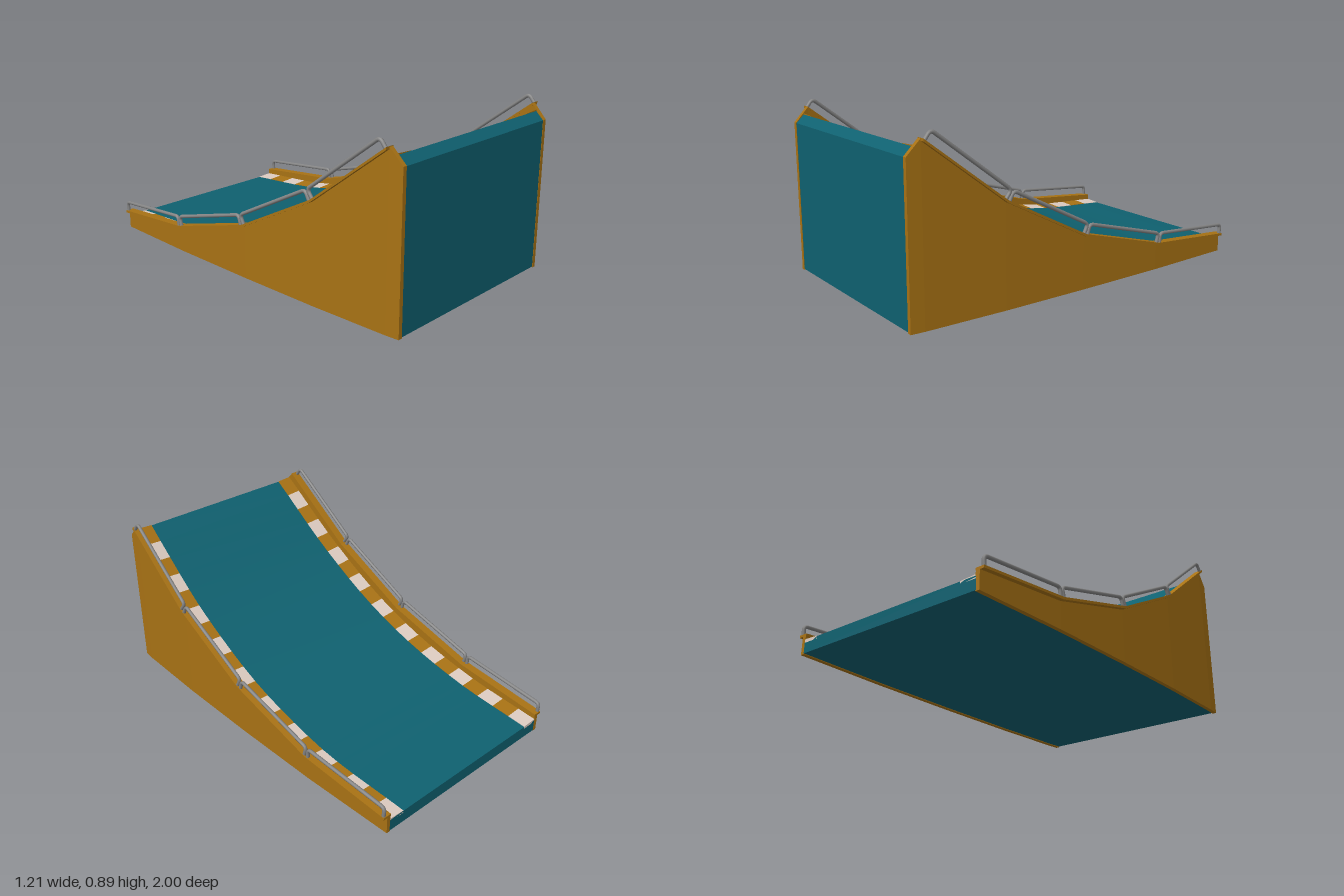
import * as THREE from 'three';

const mat = (color) => new THREE.MeshStandardMaterial({ color, flatShading: true });

// Outline of the side wall: z, height of the top edge, x of the inner face
const WALL = [
  [1, 0.785, 0.536], [0.93, 0.858, 0.542], [0.5, 0.53, 0.556],
  [0.03, 0.288, 0.56], [-0.48, 0.148, 0.556], [-1, 0.103, 0.538],
];

// Inner face x at any z, interpolated along the outline
function innerX(z) {
  for (let i = 0; i < WALL.length - 1; i++) {
    const [z0, , x0] = WALL[i], [z1, , x1] = WALL[i + 1];
    if (z >= z1) return THREE.MathUtils.lerp(x0, x1, (z0 - z) / (z0 - z1));
  }
  return WALL[WALL.length - 1][2];
}

// Closed solid through four-cornered sections running from +z to -z.
// Corners run counterclockwise seen from +z; side -1 mirrors the solid in x.
function loft(sections, side = 1) {
  const rings = sections.map(({ z, corners }) => {
    const ring = corners.map(([x, y]) => [x * side, y, z]);
    return side < 0 ? ring.reverse() : ring;
  });
  const pos = [];
  const quad = (a, b, c, d) => pos.push(...a, ...b, ...c, ...a, ...c, ...d);
  for (let i = 0; i < rings.length - 1; i++) {
    for (let j = 0; j < 4; j++) {
      const k = (j + 1) % 4;
      quad(rings[i][j], rings[i + 1][j], rings[i + 1][k], rings[i][k]);
    }
  }
  quad(...rings[0]);
  quad(...rings[rings.length - 1].slice().reverse());
  const geo = new THREE.BufferGeometry();
  geo.setAttribute('position', new THREE.Float32BufferAttribute(pos, 3));
  geo.computeVertexNormals();
  return geo;
}

// Section with a flat base and separate heights at its inner and outer edge
const section = (z, x0, x1, base, top0, top1 = top0) => ({
  z, corners: [[x0, base], [x1, base], [x1, top1], [x0, top0]],
});

// Hoop-shaped handrail over one straight stretch of the wall
function railGeometry([z0, y0, x0], [z1, y1, x1], side) {
  const a = new THREE.Vector3((x0 + 0.034) * side, y0, z0);
  const b = new THREE.Vector3((x1 + 0.034) * side, y1, z1);
  const along = b.clone().sub(a).normalize();
  const up = new THREE.Vector3(0, -along.z, along.y).normalize();
  const at = (p, d, h) => p.clone().addScaledVector(along, d).addScaledVector(up, h);
  const h = 0.052, r = 0.022, inset = 0.012;
  const path = new THREE.CurvePath();
  const a0 = at(a, inset, -0.004), a1 = at(a, inset, h - r), a2 = at(a, inset + r, h);
  const b0 = at(b, -inset, -0.004), b1 = at(b, -inset, h - r), b2 = at(b, -inset - r, h);
  path.add(new THREE.LineCurve3(a0, a1));
  path.add(new THREE.QuadraticBezierCurve3(a1, at(a, inset, h), a2));
  path.add(new THREE.LineCurve3(a2, b2));
  path.add(new THREE.QuadraticBezierCurve3(b2, at(b, -inset, h), b1));
  path.add(new THREE.LineCurve3(b1, b0));
  return new THREE.TubeGeometry(path, 64, 0.0095, 8);
}

export function createModel() {
  const model = new THREE.Group();
  const teal = mat(0x0f6170), orange = mat(0xa87214), cream = mat(0xdccbc0);
  const steel = new THREE.MeshStandardMaterial({ color: 0x858585 });
  const add = (name, geo, material, parent = model) => {
    const mesh = new THREE.Mesh(geo, material);
    mesh.name = name;
    parent.add(mesh);
  };

  // Curved running surface, cut into equal lengths
  const curve = new THREE.CatmullRomCurve3([
    [0.955, 0.823], [0.5, 0.487], [0.03, 0.245], [-0.48, 0.11], [-1, 0.07],
  ].map(([z, y]) => new THREE.Vector3(0, y, z)));
  const steps = curve.getSpacedPoints(20);

  // Ramp body with its chamfered front edge
  const bodyRows = [{ z: 0.998, y: 0.783 }, ...steps];
  add('rampBody', loft(bodyRows.map(({ z, y }) => {
    const w = innerX(z) + 0.003;
    return section(z, -w, w, 0.004, y);
  })), teal);

  for (const side of [1, -1]) {
    const group = new THREE.Group();
    group.name = side > 0 ? 'leftSide' : 'rightSide';
    model.add(group);

    // Bowed wall
    add('sideWall', loft(WALL.map(([z, y, x]) => section(z, x, x + 0.022, 0, y)), side), orange, group);

    // Thin rim projecting outward along the wall top
    add('wallRim', loft(WALL.slice(1).map(([z, y, x]) =>
      section(z, x - 0.001, x + 0.045, y - 0.01, y + 0.003)), side), orange, group);

    // Alternating edge blocks
    for (let i = 0; i < 20; i++) {
      const rows = [steps[i], steps[i + 1]].map(({ z, y }) => {
        const x = innerX(z);
        return section(z, x - 0.085, x + 0.002, y - 0.012, y + 0.002, y + 0.007);
      });
      add('edgeStripe', loft(rows, side), i % 2 ? cream : orange, group);
    }

    // Handrails, one per straight stretch
    for (let i = 1; i < WALL.length - 1; i++) {
      add('handrail', railGeometry(WALL[i], WALL[i + 1], side), steel, group);
    }
  }
  return model;
}
